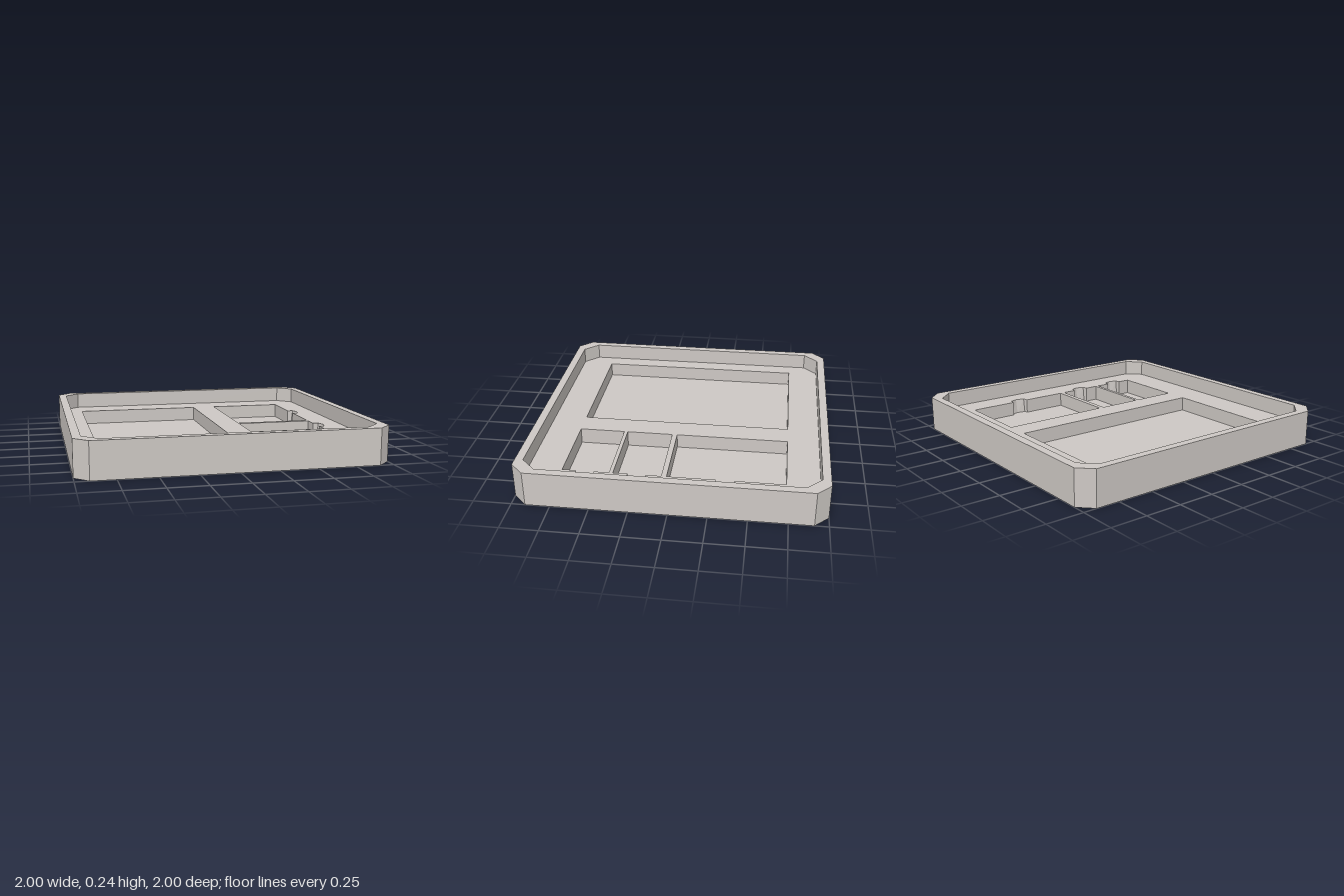
import * as THREE from 'three';

const FLOOR = 0.01, DECK = 0.13, TOP = 0.24;

// Rectangle with chamfered corners, as plan points [x, z]
const octagon = (h, c) => [
  [-h + c, -h], [h - c, -h], [h, -h + c], [h, h - c],
  [h - c, h], [-h + c, h], [-h, h - c], [-h, -h + c],
];

const rectangle = ({ x0, x1, z0, z1 }) => [[x0, z0], [x1, z0], [x1, z1], [x0, z1]];

// Plan of a finger notch cut into the +x wall of a pocket
const notchPlan = (x, z, reach) => [
  [x, z - 0.06], [x + reach * 0.7, z - 0.055], [x + reach, z - 0.005],
  [x + reach * 0.75, z + 0.055], [x, z + 0.06],
];

const toVectors = (points) => points.map(([x, z]) => new THREE.Vector2(x, -z));

// Upright prism from a plan outline with optional holes
function prism(outline, holes, y0, y1) {
  const shape = new THREE.Shape(toVectors(outline));
  holes.forEach((hole) => shape.holes.push(new THREE.Path(toVectors(hole))));
  const geometry = new THREE.ExtrudeGeometry(shape, { depth: y1 - y0, bevelEnabled: false });
  return geometry.rotateX(-Math.PI / 2).translate(0, y0, 0);
}

// Sloping wall strip between a lower and an upper plan line
function strip(lower, upper, y0, y1) {
  const positions = [];
  for (let i = 0; i < lower.length - 1; i++) {
    const a = [lower[i][0], y0, lower[i][1]], b = [lower[i + 1][0], y0, lower[i + 1][1]];
    const c = [upper[i + 1][0], y1, upper[i + 1][1]], d = [upper[i][0], y1, upper[i][1]];
    positions.push(...a, ...b, ...c, ...a, ...c, ...d);
  }
  const geometry = new THREE.BufferGeometry();
  geometry.setAttribute('position', new THREE.Float32BufferAttribute(positions, 3));
  geometry.computeVertexNormals();
  return geometry;
}

export function createModel() {
  const group = new THREE.Group();
  group.name = 'sortingTray';
  const body = new THREE.MeshStandardMaterial({ color: 0xcdc8c4, flatShading: true, side: THREE.DoubleSide });
  body.name = 'warmGrey';
  const add = (name, geometry) => {
    const mesh = new THREE.Mesh(geometry, body);
    mesh.name = name;
    group.add(mesh);
  };

  const pockets = [
    { name: 'largePocket', x0: -0.83, x1: 0.07, z0: -0.73, z1: 0.72, floor: 0.03 },
    { name: 'backPocket', x0: 0.24, x1: 0.765, z0: -0.73, z1: 0.035, floor: 0.03, notch: -0.34 },
    { name: 'middlePocket', x0: 0.24, x1: 0.765, z0: 0.07, z1: 0.385, floor: 0.02, notch: 0.23 },
    { name: 'frontPocket', x0: 0.24, x1: 0.765, z0: 0.41, z1: 0.72, floor: 0.02, notch: 0.57 },
  ];

  // Pocket outline, with its notch where it has one
  const outlineOf = (p) => {
    const points = rectangle(p);
    if (p.notch !== undefined) points.splice(2, 0, ...notchPlan(p.x1, p.notch, 0.055));
    return points;
  };

  // Base plate, surrounding rim and recessed deck
  const outer = octagon(1, 0.09), inner = octagon(0.945, 0.097);
  add('basePlate', prism(outer, [], 0, FLOOR));
  add('rim', prism(outer, [inner], FLOOR, TOP));
  add('deck', prism(inner, pockets.map(outlineOf), FLOOR, DECK));

  // Pocket floors and the sloping faces of the finger notches
  for (const p of pockets) {
    add(p.name + 'Floor', prism(outlineOf(p), [], FLOOR, p.floor));
    if (p.notch === undefined) continue;
    const lower = notchPlan(p.x1, p.notch, 0.038), upper = notchPlan(p.x1, p.notch, 0.055);
    add(p.name + 'Notch', strip(lower, upper, p.floor, DECK));
  }
  return group;
}
